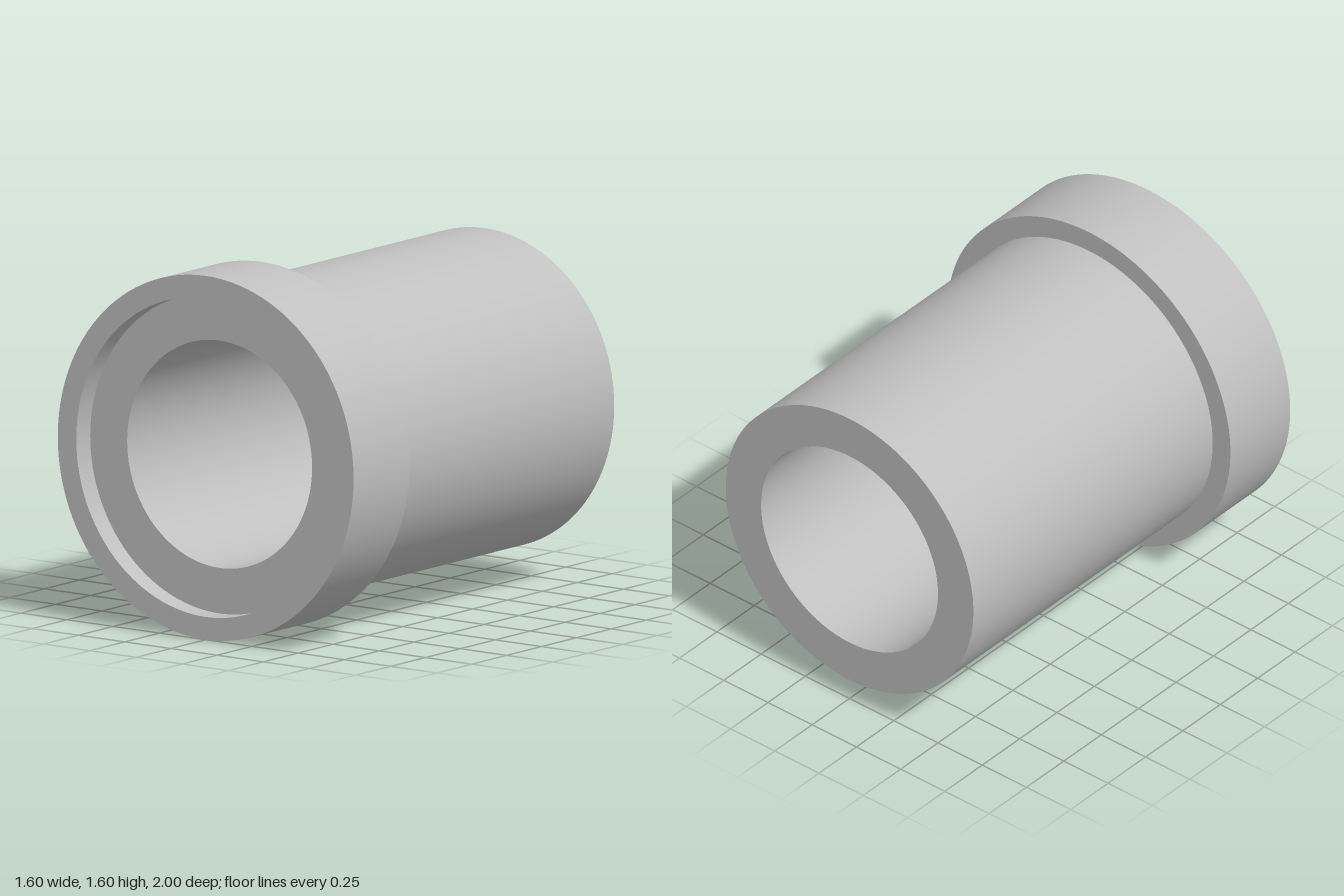
import * as THREE from 'three';
import { mergeGeometries } from 'three/addons/utils/BufferGeometryUtils.js';

const SEGMENTS = 128;
const AXIS_HEIGHT = 0.8;

// Revolve each straight [radius, z] run on its own, so edges stay sharp and walls smooth
function revolve(...paths) {
  const pieces = [];
  for (const path of paths) {
    for (let i = 0; i < path.length - 1; i++) {
      const run = [path[i], path[i + 1]].map(([r, z]) => new THREE.Vector2(r, z));
      pieces.push(new THREE.LatheGeometry(run, SEGMENTS));
    }
  }
  return mergeGeometries(pieces).rotateX(Math.PI / 2);
}

export function createModel() {
  const model = new THREE.Group();
  model.name = 'flangedBushing';
  const grey = new THREE.MeshStandardMaterial({ color: 0xc0c0c0 });
  grey.name = 'grey';

  function addPart(name, ...paths) {
    const mesh = new THREE.Mesh(revolve(...paths), grey);
    mesh.name = name;
    mesh.position.y = AXIS_HEIGHT;
    model.add(mesh);
  }

  // Sleeve: outer wall up to the flange, then the recess floor, bore and back face
  addPart('sleeve',
    [[0.7, -1], [0.7, 0.6]],
    [[0.7, 0.9], [0.5, 0.9], [0.5, -1], [0.7, -1]]);

  // Flange: back shoulder, rim, front face and shallow recess wall
  addPart('flange',
    [[0.7, 0.6], [0.8, 0.6], [0.8, 1], [0.7, 1], [0.7, 0.9]]);

  return model;
}
